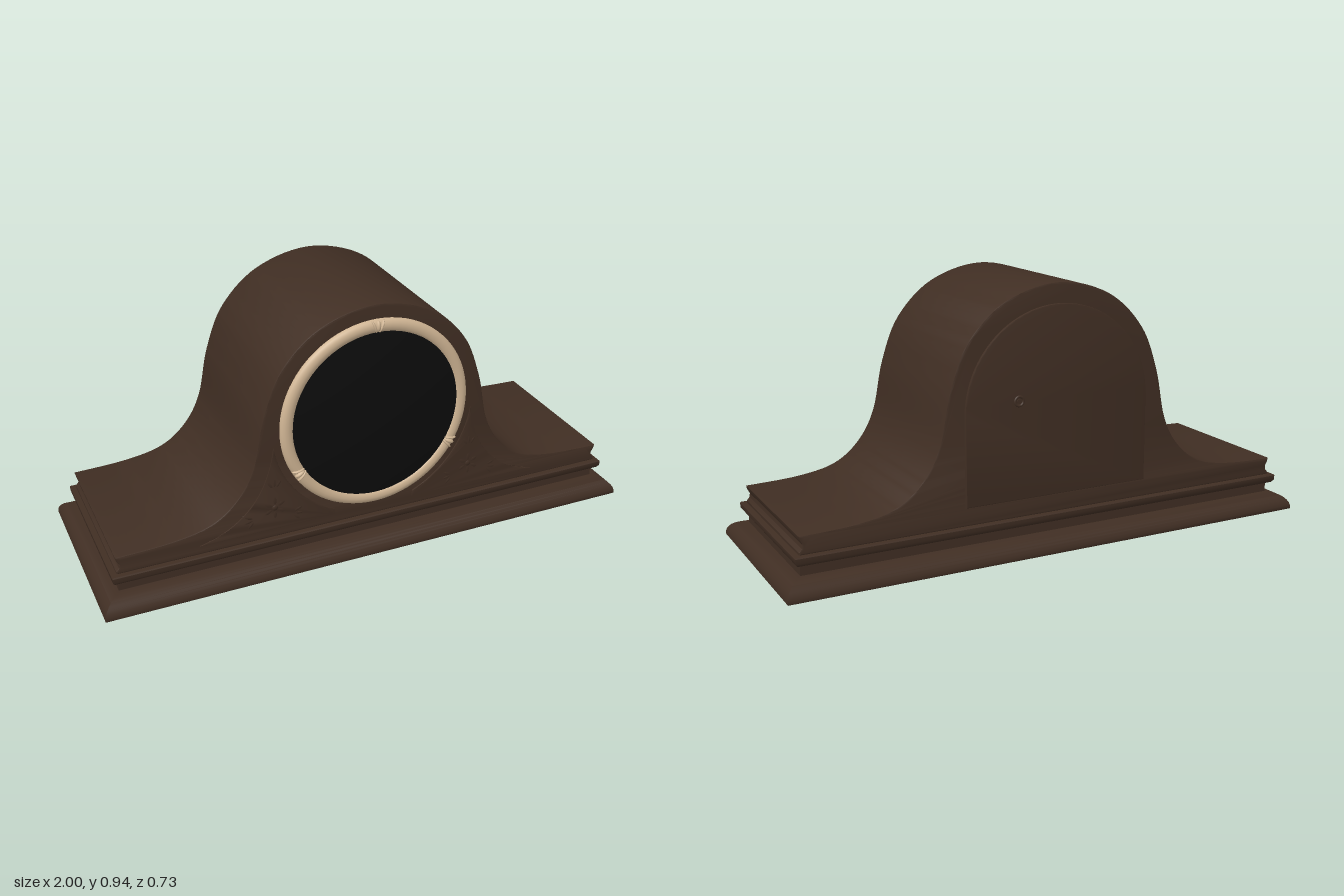
import * as THREE from 'three';
import { toCreasedNormals } from 'three/addons/utils/BufferGeometryUtils.js';

const wood = new THREE.MeshStandardMaterial({ color: 0x402e23 });
wood.name = 'dark wood';
const ivory = new THREE.MeshStandardMaterial({ color: 0xd0b594 });
ivory.name = 'pale bezel';
const black = new THREE.MeshStandardMaterial({ color: 0x0c0c0c });
black.name = 'black dial';

const DIAL_Y = 0.535;

function add(parent, name, geometry, material, x = 0, y = 0, z = 0) {
  const mesh = new THREE.Mesh(geometry, material);
  mesh.name = name;
  mesh.position.set(x, y, z);
  parent.add(mesh);
  return mesh;
}

// Rectangular moulding from a stack of [halfWidth, halfDepth, y] sections
function moulding(sections) {
  const pos = [];
  const ring = ([w, d, y]) => [[-w, y, d], [w, y, d], [w, y, -d], [-w, y, -d]];
  const quad = (a, b, c, d) => pos.push(...a, ...b, ...c, ...a, ...c, ...d);
  const rings = sections.map(ring);
  for (let i = 0; i < rings.length - 1; i++) {
    for (let k = 0; k < 4; k++) {
      const n = (k + 1) % 4;
      quad(rings[i][k], rings[i][n], rings[i + 1][n], rings[i + 1][k]);
    }
  }
  const [b, t] = [rings[0], rings[rings.length - 1]];
  quad(b[3], b[2], b[1], b[0]);
  quad(t[0], t[1], t[2], t[3]);
  const geo = new THREE.BufferGeometry();
  geo.setAttribute('position', new THREE.Float32BufferAttribute(pos, 3));
  return toCreasedNormals(geo, 0.6);
}

function extrude(shape, depth, bevel) {
  const geo = new THREE.ExtrudeGeometry(shape, {
    depth: depth - 2 * bevel, bevelEnabled: true, bevelThickness: bevel, bevelSize: bevel,
    bevelOffset: -bevel, bevelSegments: 2, curveSegments: 32,
  });
  geo.translate(0, 0, bevel);
  return toCreasedNormals(geo, 0.5);
}

// Hump-shaped case outline
function caseShape() {
  const half = [[0.935, 0.195], [0.74, 0.204], [0.6, 0.235], [0.505, 0.31], [0.445, 0.42],
    [0.405, 0.6], [0.337, 0.76], [0.2, 0.885], [0, 0.937]];
  const right = half.map(([x, y]) => new THREE.Vector2(x, y));
  const left = half.slice(0, -1).reverse().map(([x, y]) => new THREE.Vector2(-x, y));
  const top = new THREE.SplineCurve([...right, ...left]).getPoints(112);
  const end = [[0.935, 0.13], [0.935, 0.14], [0.925, 0.152], [0.923, 0.166], [0.932, 0.182]];
  const v = s => end.map(([x, y]) => new THREE.Vector2(s * x, y));
  return new THREE.Shape([...v(1), ...top, ...v(-1).reverse()]);
}

// Carved corner panel: raised border, flower and leaves
function carvedCorner() {
  const g = new THREE.Group();
  const cx = -0.375, cy = 0.25;
  const pts = [new THREE.Vector2(-0.647, 0.165), new THREE.Vector2(-0.15, 0.165)];
  const a0 = Math.atan2(-0.345, -0.15) + 2 * Math.PI, a1 = Math.PI * 1.045;
  for (let i = 0; i <= 16; i++) {
    const a = a0 + (a1 - a0) * i / 16;
    pts.push(new THREE.Vector2(0.378 * Math.cos(a), DIAL_Y + 0.378 * Math.sin(a)));
  }
  const outer = new THREE.QuadraticBezierCurve(new THREE.Vector2(-0.375, 0.48),
    new THREE.Vector2(-0.41, 0.22), pts[0].clone());
  pts.push(...outer.getPoints(16).slice(0, -1));
  const border = new THREE.Shape(pts);
  border.holes.push(new THREE.Path(pts.map(p =>
    new THREE.Vector2(cx + (p.x - cx) * 0.88, cy + (p.y - cy) * 0.86)).reverse()));
  add(g, 'panelBorder', extrude(border, 0.006, 0.002), wood, 0, 0, 0.299);

  const petal = (name, x, y, angle, len, wid) => {
    const m = add(g, name, new THREE.SphereGeometry(1, 12, 8), wood,
      x + Math.cos(angle) * len, y + Math.sin(angle) * len, 0.3);
    m.scale.set(len, wid, 0.006);
    m.rotation.z = angle;
  };
  for (let i = 0; i < 6; i++) petal('petal', cx, cy, Math.PI / 2 + i * Math.PI / 3, 0.027, 0.012);
  add(g, 'flowerCentre', new THREE.SphereGeometry(1, 12, 8), wood, cx, cy, 0.301)
    .scale.set(0.013, 0.013, 0.007);
  for (const [dx, dy, a] of [[0, 0.07, Math.PI / 2], [-0.07, -0.03, Math.PI * 1.06], [0.06, -0.035, -0.2]]) {
    for (const spread of [-0.6, 0, 0.6]) petal('leaf', cx + dx, cy + dy, a + spread, 0.028, 0.009);
  }
  return g;
}

export function createModel() {
  const model = new THREE.Group();
  model.name = 'mantelClock';

  // Stepped base
  const foot = [[0.997, 0.365, 0], [1, 0.367, 0.004]];
  for (let i = 1; i <= 8; i++) {
    const a = i / 8 * Math.PI / 2;
    const inset = 0.07 * (1 - Math.cos(a));
    foot.push([1 - inset * 0.93, 0.367 - inset, 0.004 + 0.056 * Math.sin(a)]);
  }
  add(model, 'footMoulding', moulding(foot), wood);
  add(model, 'baseNeck', moulding([[0.932, 0.292, 0.058], [0.932, 0.292, 0.098]]), wood);
  add(model, 'beltMoulding', moulding([[0.935, 0.3, 0.095], [0.946, 0.311, 0.1], [0.953, 0.318, 0.11],
    [0.954, 0.319, 0.127], [0.951, 0.316, 0.131]]), wood);

  // Case
  add(model, 'case', extrude(caseShape(), 0.602, 0.006), wood, 0, 0, -0.301);

  // Dial under a domed glass
  const dome = [];
  for (let i = 0; i <= 12; i++) {
    const r = 0.31 * (1 - i / 12);
    dome.push(new THREE.Vector2(r, 0.341 - 0.027 * (r / 0.31) ** 2));
  }
  add(model, 'dialGlass', new THREE.LatheGeometry(dome, 64).rotateX(Math.PI / 2), black, 0, DIAL_Y);

  // Bezel ring
  const rim = [[0.351, 0.298], [0.351, 0.306], [0.347, 0.313], [0.339, 0.319], [0.328, 0.321],
    [0.317, 0.319], [0.308, 0.314], [0.305, 0.304]].map(([r, z]) => new THREE.Vector2(r, z));
  add(model, 'bezel', new THREE.LatheGeometry(rim, 80).rotateX(Math.PI / 2), ivory, 0, DIAL_Y);

  // Three small clasps on the bezel
  for (const deg of [90, 210, 330]) {
    const clasp = new THREE.Group();
    clasp.name = 'bezelClasp';
    clasp.position.y = DIAL_Y;
    clasp.rotation.z = deg * Math.PI / 180;
    for (const side of [-1, 1]) {
      const band = add(clasp, 'claspBand', new THREE.SphereGeometry(1, 12, 8), ivory, 0.328, side * 0.013, 0.313);
      band.scale.set(0.024, 0.006, 0.013);
      band.rotation.z = side * 0.35;
    }
    add(clasp, 'claspBead', new THREE.SphereGeometry(1, 14, 10), ivory, 0.33, 0, 0.315)
      .scale.set(0.02, 0.009, 0.013);
    model.add(clasp);
  }

  // Carved corners, mirrored by a half-turned copy of each part's outline
  const rightCorner = carvedCorner();
  rightCorner.name = 'rightCarving';
  const leftCorner = carvedCorner();
  leftCorner.name = 'leftCarving';
  leftCorner.scale.x = -1;
  model.add(rightCorner, leftCorner);

  // Arched back door with a ring pull
  const door = new THREE.Shape();
  door.moveTo(-0.355, 0.197);
  door.lineTo(0.355, 0.197);
  door.lineTo(0.355, 0.51);
  door.absarc(0, 0.51, 0.355, 0, Math.PI, false);
  add(model, 'backDoor', extrude(door, 0.012, 0.003), wood, 0, 0, -0.31);
  add(model, 'doorPull', new THREE.TorusGeometry(0.016, 0.005, 8, 24), wood, 0.155, 0.545, -0.309);
  add(model, 'doorPullCentre', new THREE.CylinderGeometry(0.008, 0.008, 0.004, 16).rotateX(Math.PI / 2),
    wood, 0.155, 0.545, -0.311);

  return model;
}
